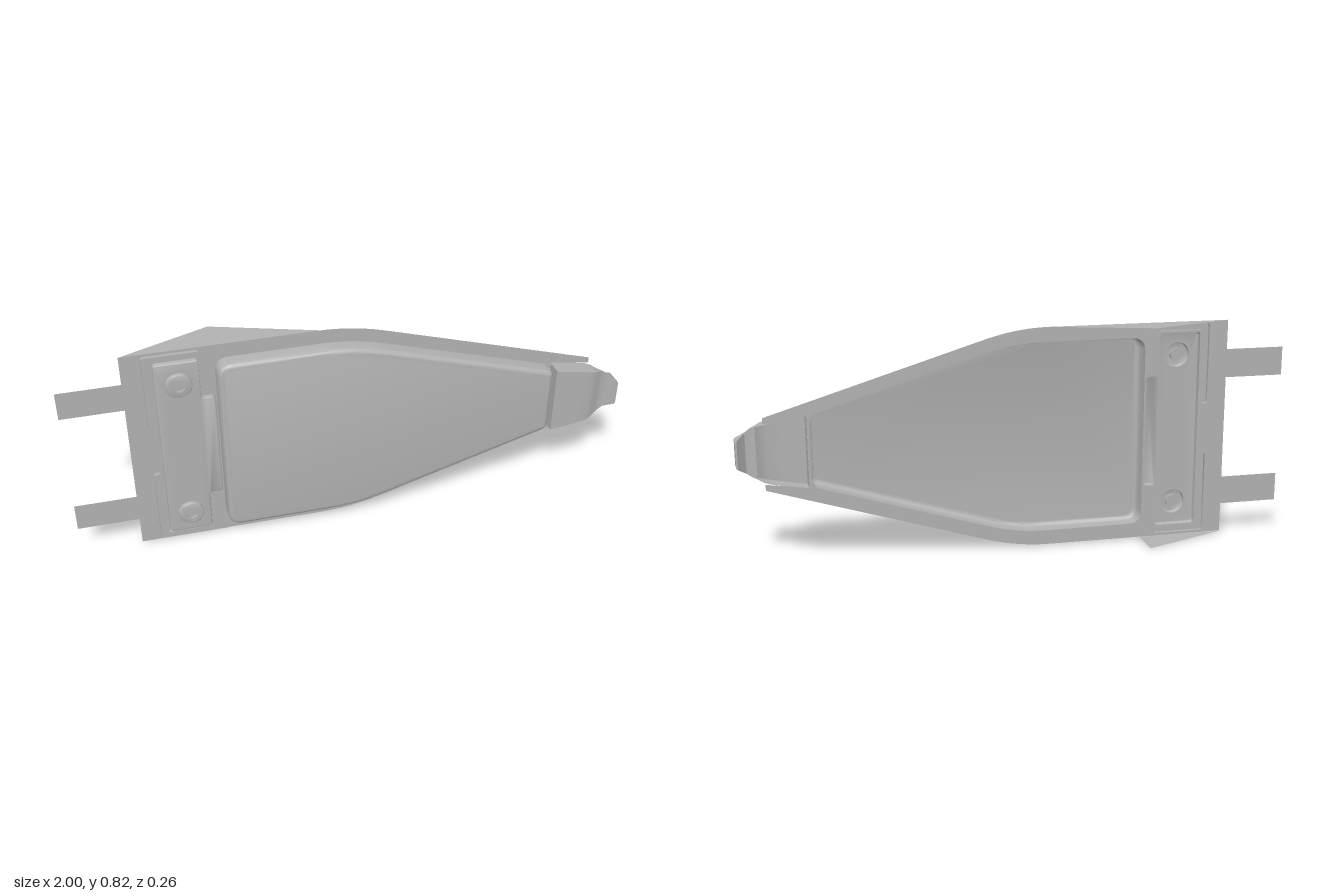
import * as THREE from 'three';
import { toCreasedNormals } from 'three/addons/utils/BufferGeometryUtils.js';

const MID = 0.413; // height of the mirror line
const sheetZ = (x) => 0.007 + 0.056 * x; // the whole sheet leans forward towards the tip
const flip = (pts) => pts.map(([x, y]) => [x, 2 * MID - y]).reverse();
const vec = (pts) => pts.map(([x, y]) => new THREE.Vector2(x, y));

// Polygon (counter-clockwise) with rounded corners; each point is [x, y, radius]
function rounded(pts, steps = 6) {
  const out = [];
  pts.forEach(([x, y, r = 0], i) => {
    if (!r) return out.push([x, y]);
    const p = new THREE.Vector2(x, y);
    const toward = (q) => new THREE.Vector2(q[0] - x, q[1] - y).setLength(r).add(p);
    const a = toward(pts[(i + pts.length - 1) % pts.length]);
    const b = toward(pts[(i + 1) % pts.length]);
    const c = new THREE.QuadraticBezierCurve(a, p, b);
    c.getPoints(steps).forEach((q) => out.push([q.x, q.y]));
  });
  return out;
}

function circle(cx, cy, r, n = 28) {
  return Array.from({ length: n }, (_, i) => {
    const a = (i / n) * Math.PI * 2;
    return [cx + r * Math.cos(a), cy + r * Math.sin(a)];
  });
}

// Move a loop inwards by d
function inset(pts, d) {
  return pts.map(([x, y], i) => {
    const p = pts[(i + pts.length - 1) % pts.length], q = pts[(i + 1) % pts.length];
    const t = new THREE.Vector2(q[0] - p[0], q[1] - p[1]).normalize();
    return [x - t.y * d, y + t.x * d];
  });
}

// Flat face at height h above the sheet, with optional holes
function face(pts, h, holes = []) {
  const shape = new THREE.Shape(vec(pts));
  holes.forEach((hole) => shape.holes.push(new THREE.Path(vec(hole))));
  const pos = new THREE.ShapeGeometry(shape).toNonIndexed().attributes.position;
  const out = [];
  for (let i = 0; i < pos.count; i++) out.push(pos.getX(i), pos.getY(i), h);
  return out;
}

// Pressed shape, hollow behind: walls from h0 to h1, a rounded rim and a face
function pressed(pts, h0, h1, bevel = 0, holes = []) {
  const rings = [[pts, h0]];
  const steps = bevel ? 4 : 0;
  for (let i = 0; i <= steps; i++) {
    const a = steps ? (i / steps) * Math.PI / 2 : 0;
    rings.push([inset(pts, bevel * (1 - Math.cos(a))), h1 - bevel * (1 - Math.sin(a))]);
  }
  const out = [];
  for (let k = 0; k + 1 < rings.length; k++) {
    const [lo, z0] = rings[k], [hi, z1] = rings[k + 1];
    lo.forEach((a, i) => {
      const j = (i + 1) % lo.length;
      out.push(...a, z0, ...lo[j], z0, ...hi[j], z1, ...a, z0, ...hi[j], z1, ...hi[i], z1);
    });
  }
  return out.concat(face(rings[rings.length - 1][0], h1, holes));
}

export function createModel() {
  const group = new THREE.Group();
  const grey = new THREE.MeshStandardMaterial({ color: 0xb2b2b2, side: THREE.DoubleSide });
  grey.name = 'plain grey';

  function add(name, positions, lean = true) {
    const g = new THREE.BufferGeometry();
    const p = new THREE.Float32BufferAttribute(positions, 3);
    if (lean) for (let i = 0; i < p.count; i++) p.setZ(i, p.getZ(i) + sheetZ(p.getX(i)));
    g.setAttribute('position', p);
    const mesh = new THREE.Mesh(toCreasedNormals(g, 0.6), grey);
    mesh.name = name;
    group.add(mesh);
  }

  // Outlines: lower half given, upper half mirrored
  const mirrored = (half) => rounded([...half, ...flipR(half)]);
  const flipR = (half) => half.map(([x, y, r]) => [x, 2 * MID - y, r]).reverse();

  const plate = mirrored([[-0.78, 0.006], [0.01, 0.006, 0.12], [0.905, 0.283], [0.905, 0.305], [0.755, 0.283]]);
  const panel = mirrored([[-0.465, 0.06, 0.05], [0.015, 0.06, 0.11], [0.745, 0.286, 0.02]]);
  const plateau = mirrored([
    [-0.674, 0.046, 0.015], [-0.522, 0.046, 0.008], [-0.522, 0.205, 0.015], [-0.473, 0.205, 0.015],
  ]);
  const ribTop = rounded([
    [-0.71, 0.81, 0.012], [-0.71, 0.51, 0.012], [-0.681, 0.51, 0.012],
    [-0.681, 0.787], [-0.52, 0.787], [-0.52, 0.81],
  ]);
  const ribs = [ribTop, flip(ribTop)];

  // Main sheet and the pressed areas in it
  add('basePlate', face(plate, 0, [panel, plateau, ...ribs]));
  add('raisedPanel', pressed(panel, 0, 0.057, 0.016));
  const bosses = [0.695, 2 * MID - 0.695].map((y) => [-0.595, y]);
  add('mountingStrip', pressed(plateau, 0, 0.02, 0.004, bosses.map(([x, y]) => circle(x, y, 0.046))));
  ribs.forEach((r) => add('cornerRib', pressed(r, 0, 0.012)));

  // Fastener bosses with a sunken centre
  bosses.forEach(([x, y]) => {
    const core = circle(x, y, 0.023);
    add('fastenerBoss', pressed(circle(x, y, 0.046), 0.02, 0.034, 0.004, [core]));
    add('fastenerCore', pressed(core, 0.034, 0.026));
  });

  // Mounting tabs
  [0.605, 0.115].forEach((y) => {
    add('mountingTab', face([[-1, y], [-0.78, y], [-0.78, y + 0.106], [-1, y + 0.106]], 0));
  });

  // Side flanges folded backwards
  const zA = sheetZ(-0.78), zM = sheetZ(-0.46), zB = sheetZ(-0.1);
  add('upperFlange', [-0.78, 0.82, zA, -0.1, 0.82, zB, -0.46, 0.82, -0.135], false);
  add('lowerFlange', [-0.78, 0.004, zA, -0.46, 0, -0.135, -0.46, 0.004, zM], false);

  // Tip: sections of [x, half height, back z, front z]; hollow behind until the neck
  const sections = [
    [0.755, 0.132, 0.05, 0.11], [0.83, 0.12, 0.054, 0.117], [0.89, 0.108, 0.058, 0.121],
    [0.91, 0.102, 0.066, 0.117], [0.93, 0.094, 0.085, 0.106], [0.945, 0.088, 0.093, 0.1],
    [0.965, 0.073, 0.093, 0.102], [0.985, 0.058, 0.076, 0.12], [0.994, 0.051, 0.067, 0.13], [1, 0.046, 0.069, 0.13],
  ];
  const corners = ([x, w, b, f]) => [
    [x, MID - w, b], [x, MID - w, f], [x, MID + w, f], [x, MID + w, b],
  ];
  const quad = (a, b, c, d) => [...a, ...b, ...c, ...a, ...c, ...d];
  const tip = [...quad(...corners(sections[0]).reverse()), ...quad(...corners(sections[sections.length - 1]).reverse())];
  for (let k = 0; k + 1 < sections.length; k++) {
    const s = corners(sections[k]), t = corners(sections[k + 1]);
    const sides = k < 4 ? 3 : 4;
    for (let i = 0; i < sides; i++) {
      const j = (i + 1) % 4;
      tip.push(...quad(s[i], t[i], t[j], s[j]));
    }
  }
  add('tip', tip, false);

  return group;
}
